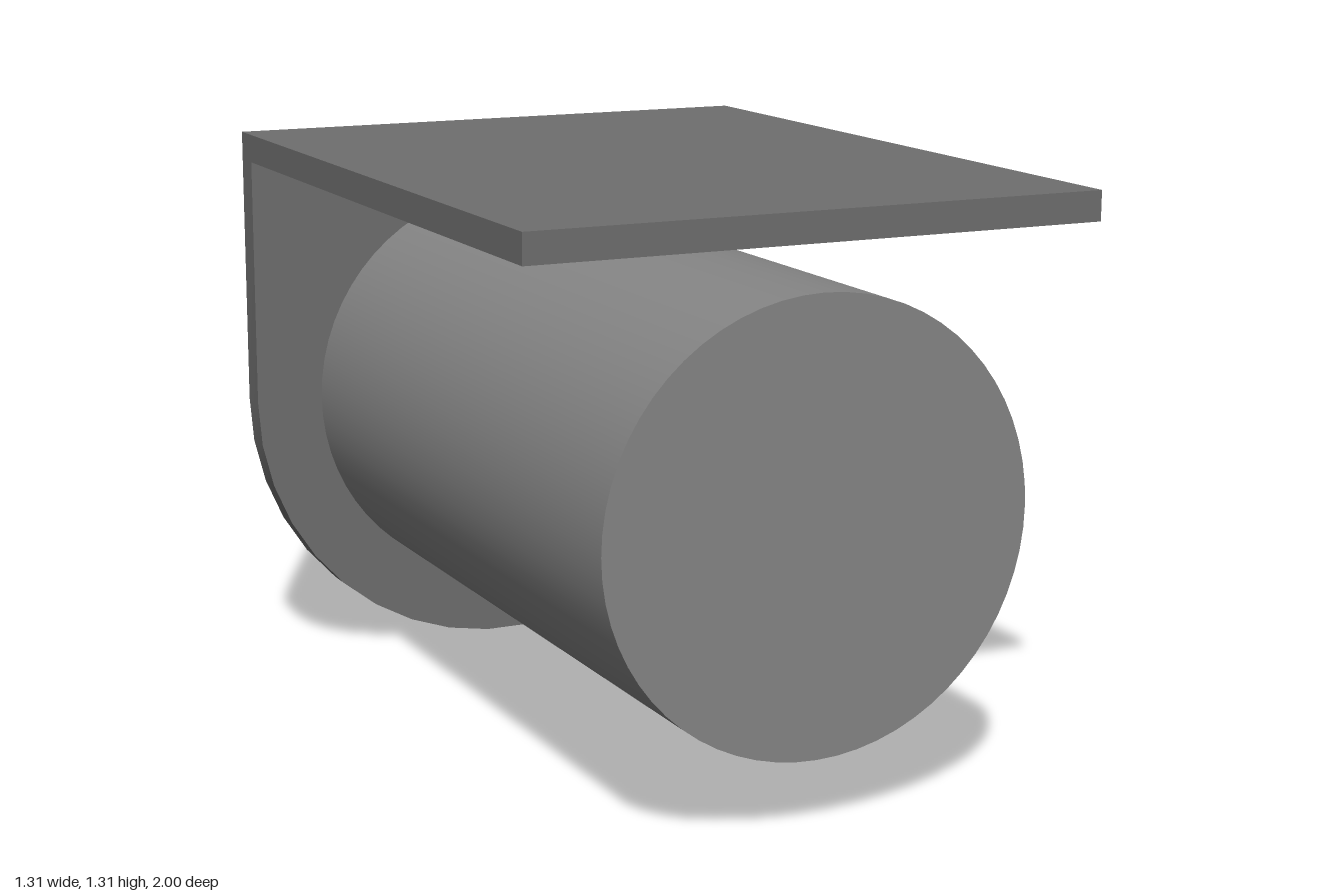
import * as THREE from 'three';
import { toCreasedNormals } from 'three/addons/utils/BufferGeometryUtils.js';

const HALF = 0.655;   // half width, also the radius of the rounded end
const AXIS = 0.653;   // height of the shared axis
const TOP = 1.31;
const THICK = 0.066;  // sheet thickness
const BACK = -0.703;  // rear face of the bracket
const INNER = BACK + THICK;
const FRONT = 1;

export function createModel() {
  const group = new THREE.Group();
  const bracketGrey = new THREE.MeshStandardMaterial({ color: 0x6e6e6e });
  const cylinderGrey = new THREE.MeshStandardMaterial({ color: 0x858585 });

  function add(name, geometry, material, y, z) {
    const mesh = new THREE.Mesh(geometry, material);
    mesh.name = name;
    mesh.position.set(0, y, z);
    group.add(mesh);
  }

  // Cylinder along z between two depths, on the shared axis
  function addRound(name, radius, z0, z1) {
    const geometry = new THREE.CylinderGeometry(radius, radius, z1 - z0, 64);
    geometry.rotateX(Math.PI / 2);
    add(name, geometry, cylinderGrey, AXIS, (z0 + z1) / 2);
  }

  // Upright bracket plate: square top, half-round bottom with a smooth rim
  const outline = [new THREE.Vector2(HALF, TOP), new THREE.Vector2(-HALF, TOP)];
  const sides = 19;
  for (let i = 0; i <= sides; i++) {
    const a = Math.PI * (1 + i / sides);
    outline.push(new THREE.Vector2(HALF * Math.cos(a), AXIS + HALF * Math.sin(a)));
  }
  const plate = new THREE.ExtrudeGeometry(new THREE.Shape(outline), { depth: THICK, bevelEnabled: false });
  add('bracketBackPlate', toCreasedNormals(plate, 0.5), bracketGrey, 0, BACK);

  // Horizontal bracket plate reaching forward from the back plate
  add('bracketTopPlate', new THREE.BoxGeometry(2 * HALF, THICK, FRONT - INNER),
    bracketGrey, TOP - THICK / 2, (FRONT + INNER) / 2);

  // Main body in front, smaller boss behind
  addRound('cylinderBody', 0.491, INNER, FRONT);
  addRound('rearBoss', 0.326, -1, BACK);

  return group;
}
